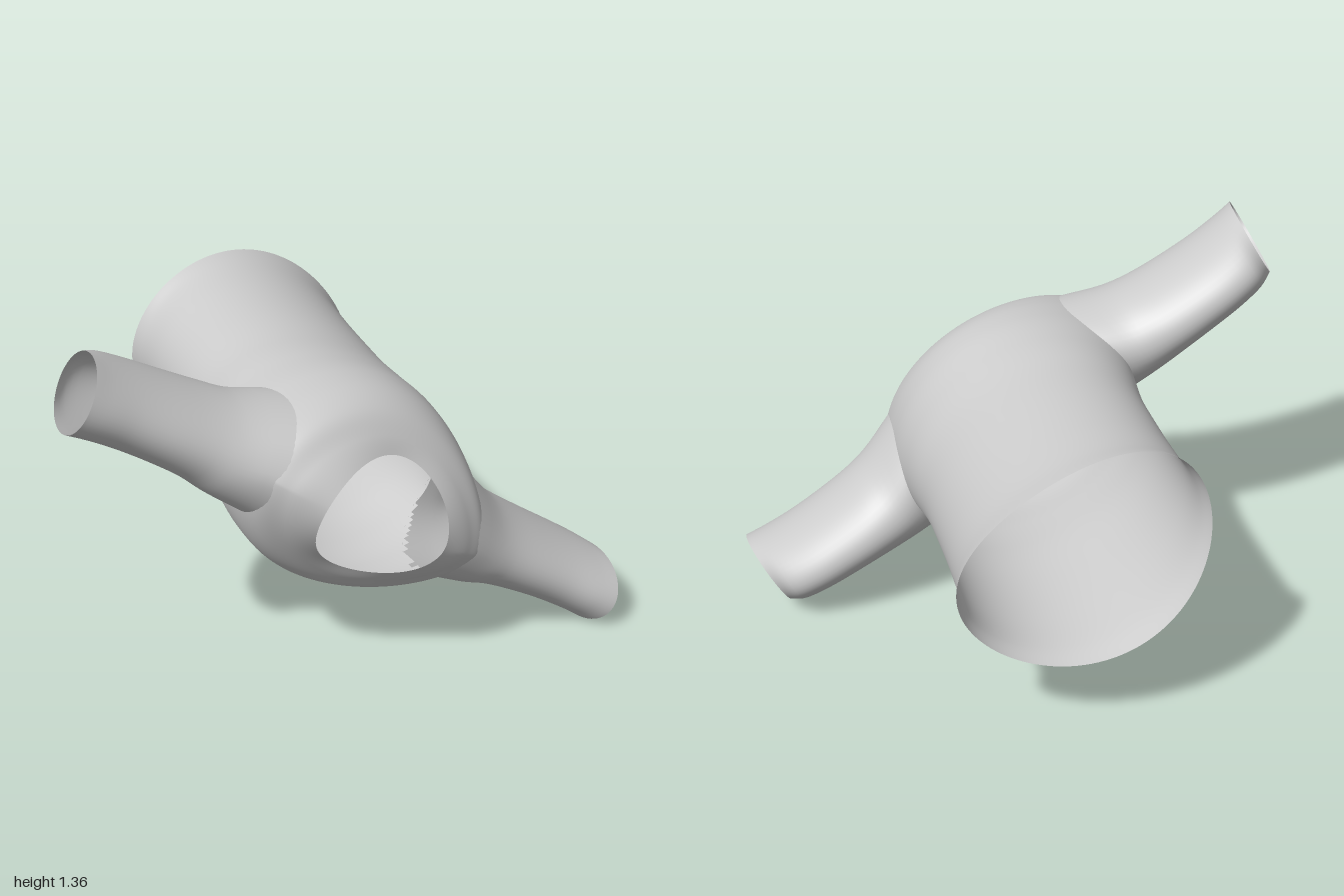
import * as THREE from 'three';

const { smoothstep, clamp } = THREE.MathUtils;
const material = new THREE.MeshStandardMaterial({ color: 0xcccccc, side: THREE.DoubleSide });

// Closed tube of rings: point(t, angle) gives each vertex, skip() leaves holes
function tube(name, rings, sides, point, skip = () => false) {
  const pts = [], index = [];
  for (let i = 0; i <= rings; i++)
    for (let j = 0; j < sides; j++) pts.push(point(i / rings, (j / sides) * Math.PI * 2));
  for (let i = 0; i < rings; i++)
    for (let j = 0; j < sides; j++) {
      const k = (j + 1) % sides;
      const a = i * sides + j, b = i * sides + k, c = a + sides, d = b + sides;
      if ([a, b, c, d].every((n) => skip(pts[n]))) continue;
      index.push(a, b, d, a, d, c);
    }
  const geometry = new THREE.BufferGeometry().setFromPoints(pts);
  geometry.setIndex(index);
  geometry.computeVertexNormals();
  const mesh = new THREE.Mesh(geometry, material);
  mesh.name = name;
  return mesh;
}

const curve = (pairs) => new THREE.CatmullRomCurve3(pairs.map(([r, z]) => new THREE.Vector3(r, z, 0)));

// Side and front/back profiles of the torso, hem to neck: [radius, z]
const sideProfile = curve([[0.46, -0.62], [0.442, -0.56], [0.434, -0.42], [0.432, -0.2], [0.437, 0],
  [0.46, 0.17], [0.49, 0.35], [0.495, 0.5], [0.465, 0.64], [0.37, 0.695], [0.245, 0.738]]);
const faceProfile = curve([[0.376, -0.725], [0.362, -0.62], [0.353, -0.44], [0.35, -0.2], [0.352, 0],
  [0.365, 0.17], [0.378, 0.32], [0.368, 0.43], [0.33, 0.52], [0.27, 0.58], [0.218, 0.615]]);

// Round at hem and neck, flattening to a lens across the shoulders
const flatness = (t) => 1 + 0.38 * smoothstep(t, 0.42, 0.68) * (1 - 0.8 * smoothstep(t, 0.85, 1));

function torsoPoint(t, angle) {
  const A = sideProfile.getPoint(t), B = faceProfile.getPoint(t);
  const c = Math.cos(angle), s = Math.sin(angle);
  const y = B.x * Math.sign(s) * Math.abs(s) ** flatness(t);
  return new THREE.Vector3(A.x * c, y, A.y * c * c + B.y * s * s);
}

// Armhole ellipse, seen along the shoulder line
const hole = { z: 0.422, rz: 0.248, ry: 0.2 };
const inArmhole = (p) => Math.abs(p.x) > 0.25 &&
  ((p.z - hole.z) / hole.rz) ** 2 + (p.y / hole.ry) ** 2 < 1;

// Point of the torso wall at a given y and z, found by bisection
function wallPoint(y, z) {
  let low = 0.4, high = 1, p;
  for (let i = 0; i < 22; i++) {
    const t = (low + high) / 2;
    const ratio = clamp(Math.abs(y) / faceProfile.getPoint(t).x, 0, 0.98);
    p = torsoPoint(t, Math.sign(y) * Math.asin(ratio ** (1 / flatness(t))));
    if (p.z < z) low = t; else high = t;
  }
  return p;
}

// Sleeve sections after the armhole: [x, z centre, z radius, y radius]
const sections = [[0.54, 0.405, 0.238, 0.164], [0.64, 0.39, 0.236, 0.146], [0.78, 0.387, 0.232, 0.134],
  [0.92, 0.395, 0.226, 0.128], [1.04, 0.418, 0.217, 0.126], [1.115, 0.45, 0.194, 0.126]];

function sleevePoint(t, angle) {
  const c = Math.cos(angle), s = Math.sin(angle);
  const path = [wallPoint(hole.ry * s, hole.z + hole.rz * c)];
  sections.forEach(([x, z, rz, ry], i) => {
    // The cuff is cut slightly shorter on the underarm side
    const cut = 0.022 * (1 - c) * Math.max(0, i - 3) / 2;
    path.push(new THREE.Vector3(x - cut, ry * s - 0.02, z + rz * c));
  });
  return new THREE.CatmullRomCurve3(path, false, 'centripetal').getPoint(t);
}

export function createModel() {
  const shirt = new THREE.Group();
  shirt.name = 'shirt';

  // Garment lies tilted along its shoulder line
  const garment = new THREE.Group();
  garment.name = 'garment';
  garment.position.y = 0.708;
  garment.rotation.z = -0.55;
  shirt.add(garment);

  garment.add(tube('torso', 100, 128, torsoPoint, inArmhole));

  const left = tube('leftSleeve', 24, 48, sleevePoint);
  const right = left.clone();
  right.name = 'rightSleeve';
  right.scale.x = -1;
  garment.add(left, right);
  return shirt;
}
